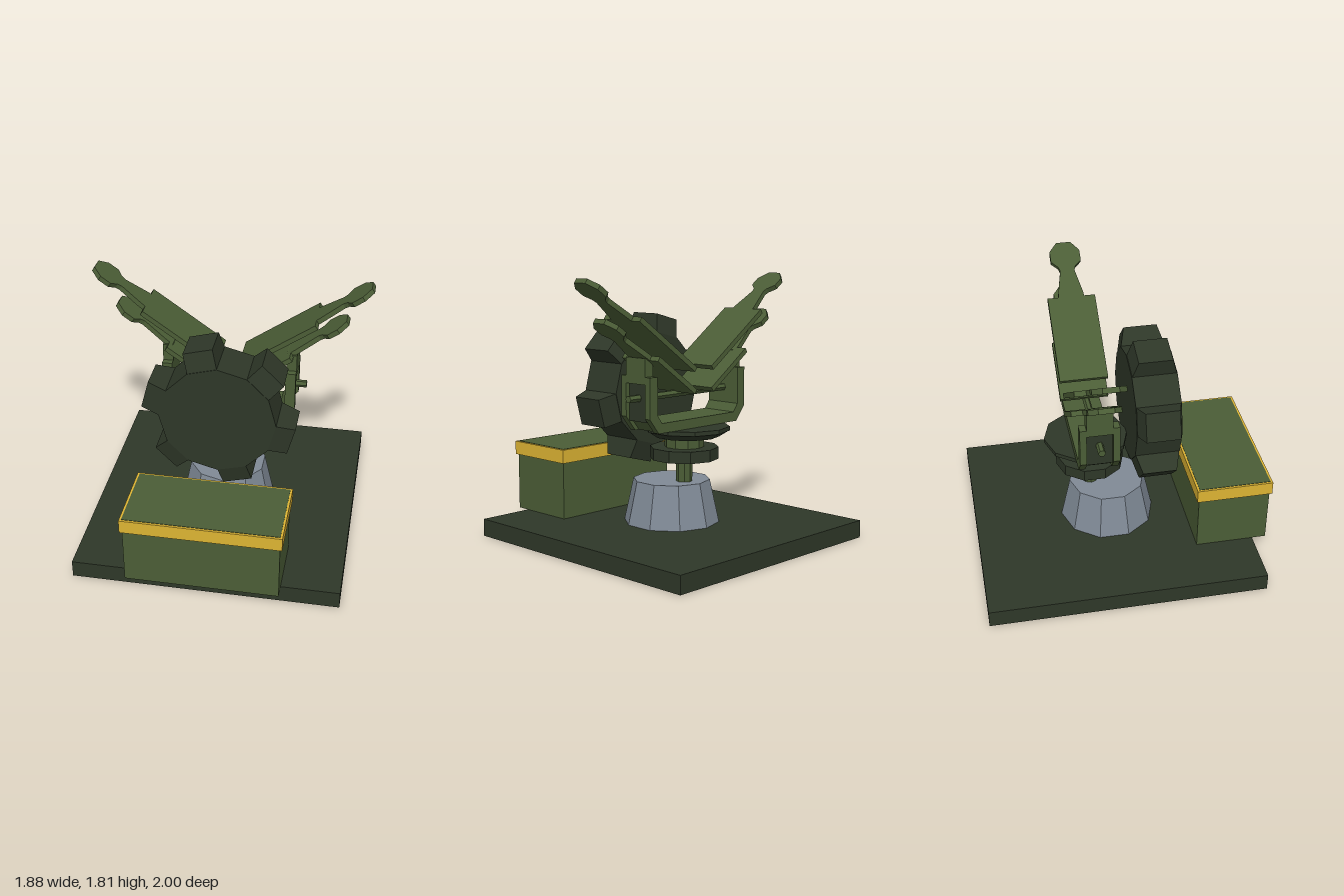
import * as THREE from 'three';

const mat = (color) => new THREE.MeshStandardMaterial({ color, flatShading: true });

export function createModel() {
  const model = new THREE.Group();
  const green = mat(0x4b5d36), dark = mat(0x2e3728), yellow = mat(0xddb433), grey = mat(0x808a96);

  const add = (name, geometry, material, x = 0, y = 0, z = 0, parent = model) => {
    const mesh = new THREE.Mesh(geometry, material);
    mesh.name = name;
    mesh.position.set(x, y, z);
    parent.add(mesh);
    return mesh;
  };
  // box from its lower and upper corners
  const box = (name, material, [x0, y0, z0], [x1, y1, z1], parent = model) =>
    add(name, new THREE.BoxGeometry(x1 - x0, y1 - y0, z1 - z0), material,
      (x0 + x1) / 2, (y0 + y1) / 2, (z0 + z1) / 2, parent);
  // ten-sided drum between two heights
  const drum = (name, material, rTop, rBottom, y0, y1, z, sides = 10) =>
    add(name, new THREE.CylinderGeometry(rTop, rBottom, y1 - y0, sides), material, 0, (y0 + y1) / 2, z);
  const polygon = (points) => new THREE.Shape(points.map(([x, y]) => new THREE.Vector2(x, y)));
  const extrude = (points, depth) =>
    new THREE.ExtrudeGeometry(polygon(points), { depth, bevelEnabled: false });

  // ground slab and crate with a yellow rim
  box('base', dark, [-0.9, 0, -1], [0.9, 0.12, 0.89]);
  box('crate', green, [-0.51, 0.12, 0.49], [0.51, 0.612, 0.985]);
  box('crateRim', yellow, [-0.525, 0.515, 0.475], [0.525, 0.609, 1]);

  // pedestal and turntable
  drum('pedestal', grey, 0.265, 0.33, 0.12, 0.415, -0.055);
  drum('post', green, 0.055, 0.055, 0.41, 0.58, -0.175, 8);
  drum('lowerDisc', dark, 0.235, 0.235, 0.575, 0.655, -0.175);
  drum('lowerDiscUnderside', dark, 0.235, 0.1, 0.563, 0.575, -0.175);
  drum('collar', green, 0.135, 0.135, 0.65, 0.74, -0.175);
  drum('upperDiscUnderside', dark, 0.285, 0.22, 0.73, 0.772, -0.2);
  drum('upperDisc', dark, 0.29, 0.29, 0.772, 0.8, -0.2);

  // U-shaped yoke: two full rails and a recessed web between them
  const yokeProfile = (outer, top) => {
    const half = [[outer, top], [outer, 0.9], [outer - 0.08, 0.8]];
    const inner = [[0.39, top], [0.39, 0.92], [0.35, 0.865]];
    const flip = (pts) => pts.map(([x, y]) => [-x, y]);
    return [...flip(half), ...half.slice().reverse(), ...inner, ...flip(inner).reverse()];
  };
  const yoke = new THREE.Group();
  yoke.name = 'yoke';
  model.add(yoke);
  for (const z of [-0.31, -0.09])
    add('yokeRail', extrude(yokeProfile(0.46, 1.17), 0.045), green, 0, 0, z, yoke);
  add('yokeWeb', extrude(yokeProfile(0.425, 1.17), 0.175), green, 0, 0, -0.265, yoke);
  for (const s of [-1, 1]) {
    const slab = (name, material, x0, x1, y0, y1) =>
      box(name, material, [Math.min(s * x0, s * x1), y0, -0.265],
        [Math.max(s * x0, s * x1), y1, -0.09], yoke);
    slab('yokeHead', green, 0.39, 0.46, 1.12, 1.29);
    slab('recessPanel', dark, 0.415, 0.43, 0.87, 1.12);
  }
  // cross rod through both arms
  const rod = add('crossRod', new THREE.CylinderGeometry(0.025, 0.025, 1.05, 6), green, 0, 1.025, -0.177, yoke);
  rod.rotation.z = Math.PI / 2;

  // flat barrels: wide body, tapering neck, octagonal tip
  const slope = THREE.MathUtils.degToRad(35);
  const barrel = (bodyEnd, tipEnd) => {
    const start = 0.08;
    const half = [[start, 0.165], [bodyEnd, 0.165], [bodyEnd, 0.09], [bodyEnd + 0.03, 0.085],
      [tipEnd - 0.18, 0.05], [tipEnd - 0.155, 0.06], [tipEnd - 0.12, 0.105],
      [tipEnd - 0.055, 0.105], [tipEnd, 0.05]]
      .map(([x, w]) => [(x - start) / Math.cos(slope), w]);
    const other = half.map(([x, w]) => [x, -w]);
    const g = extrude([...other, ...half.reverse()], 0.034);
    g.translate(0, 0, -0.017);
    return g.rotateX(-Math.PI / 2).rotateZ(slope);
  };
  for (const side of [0, 1]) {
    const pair = new THREE.Group();
    pair.name = side ? 'rightBarrels' : 'leftBarrels';
    pair.position.z = -0.192;
    pair.rotation.y = side * Math.PI;
    add('upperBarrel', barrel(0.585, 0.93), green, 0.08, 1.197, 0, pair);
    add('lowerBarrel', barrel(0.425, 0.78), green, 0.08, 1.05, 0, pair);
    model.add(pair);
  }

  // twelve-sided wheel with six tapered lugs on alternate edges
  const wheel = new THREE.Group();
  wheel.name = 'lugWheel';
  wheel.position.set(0, 1.025, 0.233);
  model.add(wheel);
  const disc = new THREE.CylinderGeometry(0.39, 0.39, 0.305, 12).rotateX(Math.PI / 2);
  add('wheelDisc', disc, dark, 0, 0, 0, wheel);
  const lugGeometry = new THREE.BoxGeometry(0.2, 0.143, 0.305);
  const p = lugGeometry.attributes.position;
  for (let i = 0; i < p.count; i++)
    if (p.getY(i) > 0) p.setZ(i, p.getZ(i) * 0.75);
  lugGeometry.translate(0, 0.4335, 0);
  for (let i = 0; i < 6; i++)
    add('lug', lugGeometry, dark, 0, 0, 0, wheel).rotation.z = Math.PI / 12 + (i * Math.PI) / 3;

  return model;
}
